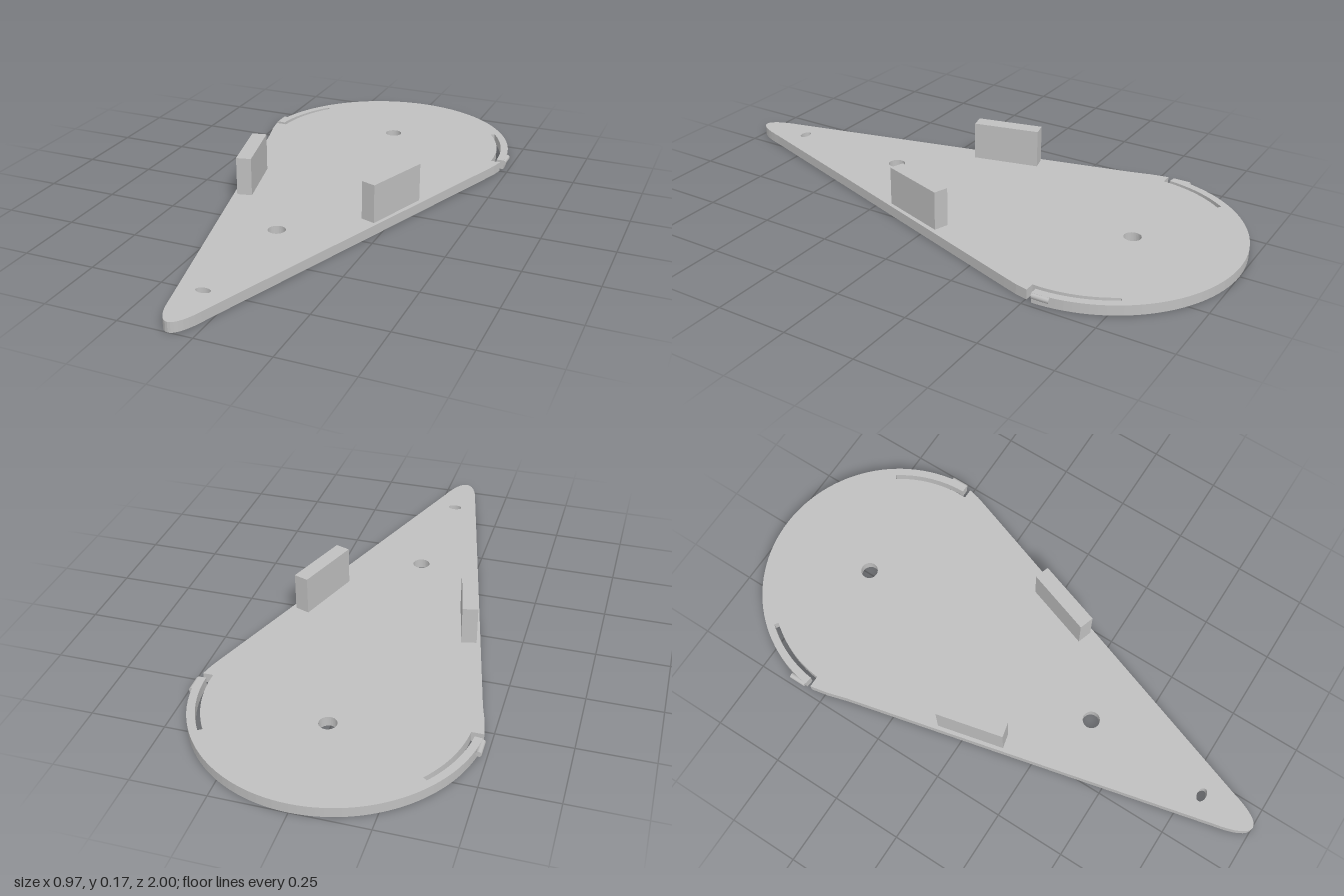
import * as THREE from 'three';

const THICK = 0.035;
const CZ = 0.52; // centre of the rounded end, in shape space (y = -z)
const rad = THREE.MathUtils.degToRad;

export function createModel() {
  const group = new THREE.Group();
  const grey = new THREE.MeshStandardMaterial({ color: 0xc0c0c0 });
  grey.name = 'plain grey';

  const add = (name, geometry) => {
    const mesh = new THREE.Mesh(geometry, grey);
    mesh.name = name;
    group.add(mesh);
    return mesh;
  };

  // Teardrop outline, with a curved slot cut in behind each spring arm
  const points = [];
  const arc = (r, from, to, n) => {
    for (let i = 0; i <= n; i++) {
      const a = rad(from + (to - from) * i / n);
      points.push(new THREE.Vector2(r * Math.cos(a), CZ + r * Math.sin(a)));
    }
  };
  const corner = (x, y) => points.push(new THREE.Vector2(x, y));

  corner(0.445, -(-0.41));
  corner(0.462, 0.46);
  corner(0.472, 0.503);
  arc(0.437, -2.2, 34, 12);
  arc(0.453, 34, 0.4, 12);
  arc(0.48, 0.4, 173.8, 56);
  arc(0.453, 173.8, 142, 12);
  arc(0.437, 142, 175.8, 12);
  corner(-0.477, 0.552);
  corner(-0.465, 0.49);
  corner(-0.445, 0.42);
  // Rounded tip
  const tip = new THREE.CubicBezierCurve(
    new THREE.Vector2(-0.141, -0.88), new THREE.Vector2(-0.11, -1.04),
    new THREE.Vector2(-0.055, -1.04), new THREE.Vector2(-0.01, -0.885));
  points.push(...tip.getPoints(16));

  const outline = new THREE.Shape(points);

  // Screw holes, the one at the tip being oval
  for (const [x, z, rx, ry] of [
    [0, -0.632, 0.03, 0.03], [-0.05, 0.345, 0.03, 0.03], [-0.075, 0.8, 0.025, 0.016],
  ]) {
    const hole = new THREE.Path();
    hole.absellipse(x, -z, rx, ry, 0, Math.PI * 2, true);
    outline.holes.push(hole);
  }

  const plate = new THREE.ExtrudeGeometry(outline, { depth: THICK, bevelEnabled: false, curveSegments: 16 });
  plate.rotateX(-Math.PI / 2);
  add('basePlate', plate);

  // Upright blocks along the two straight edges
  for (const [name, x, z, length, turn] of [
    ['rightBlock', -0.302, 0.018, 0.24, 0.226],
    ['leftBlock', 0.24, 0.048, 0.246, -0.328],
  ]) {
    const block = add(name, new THREE.BoxGeometry(0.053, 0.172 - THICK, length));
    block.position.set(x, (0.172 + THICK) / 2, z);
    block.rotation.y = turn;
  }

  // Small catches on the outside of the spring arms
  for (const [name, x, z] of [['rightCatch', -0.477, -0.605], ['leftCatch', 0.478, -0.555]]) {
    const bump = new THREE.CylinderGeometry(0.01, 0.01, 0.06, 10);
    bump.rotateX(Math.PI / 2);
    add(name, bump).position.set(x, 0.025, z);
  }

  return group;
}
